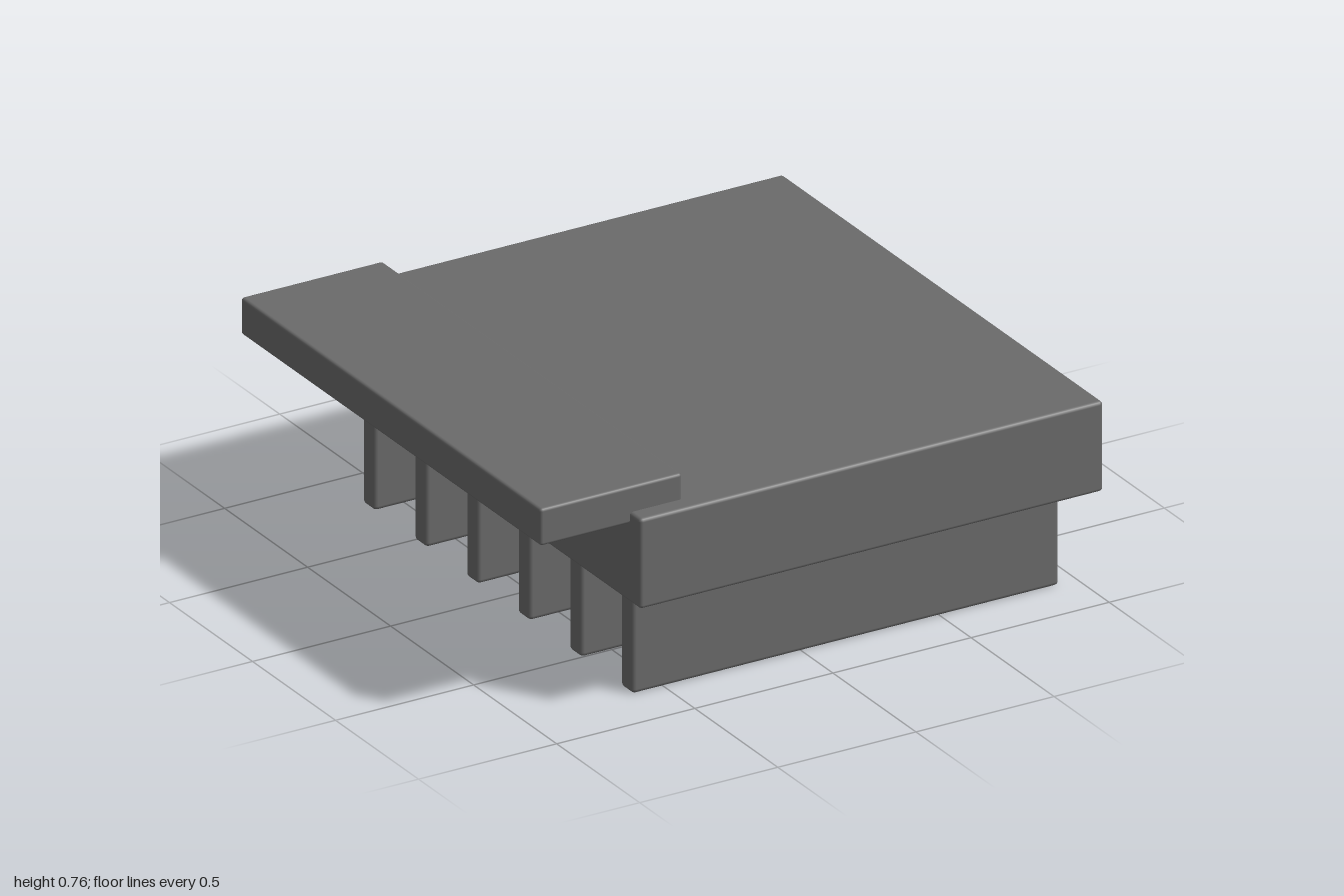
import * as THREE from 'three';
import { RoundedBoxGeometry } from 'three/addons/geometries/RoundedBoxGeometry.js';

export function createModel() {
  const model = new THREE.Group();
  const darkGrey = new THREE.MeshStandardMaterial({ color: 0x6a6a6a });
  darkGrey.name = 'darkGrey';

  // Softly bevelled block given by its extents on each axis
  function block(name, [x0, x1], [y0, y1], [z0, z1], bevel) {
    const geometry = new RoundedBoxGeometry(x1 - x0, y1 - y0, z1 - z0, 2, bevel);
    const mesh = new THREE.Mesh(geometry, darkGrey);
    mesh.name = name;
    mesh.position.set((x0 + x1) / 2, (y0 + y1) / 2, (z0 + z1) / 2);
    model.add(mesh);
  }

  // Main slab and the plate overhanging its right edge
  block('slab', [-0.677, 1], [0.367, 0.676], [-0.966, 0.966], 0.012);
  block('overhangPlate', [-1, -0.487], [0.637, 0.764], [-0.903, 0.903], 0.01);

  // Row of six upright fins under the slab
  const spacing = 0.311, half = 0.037;
  for (let i = 0; i < 6; i++) {
    const z = (2.5 - i) * spacing;
    block(`fin${i + 1}`, [-0.613, 0.931], [0, 0.367], [z - half, z + half], 0.014);
  }

  return model;
}
